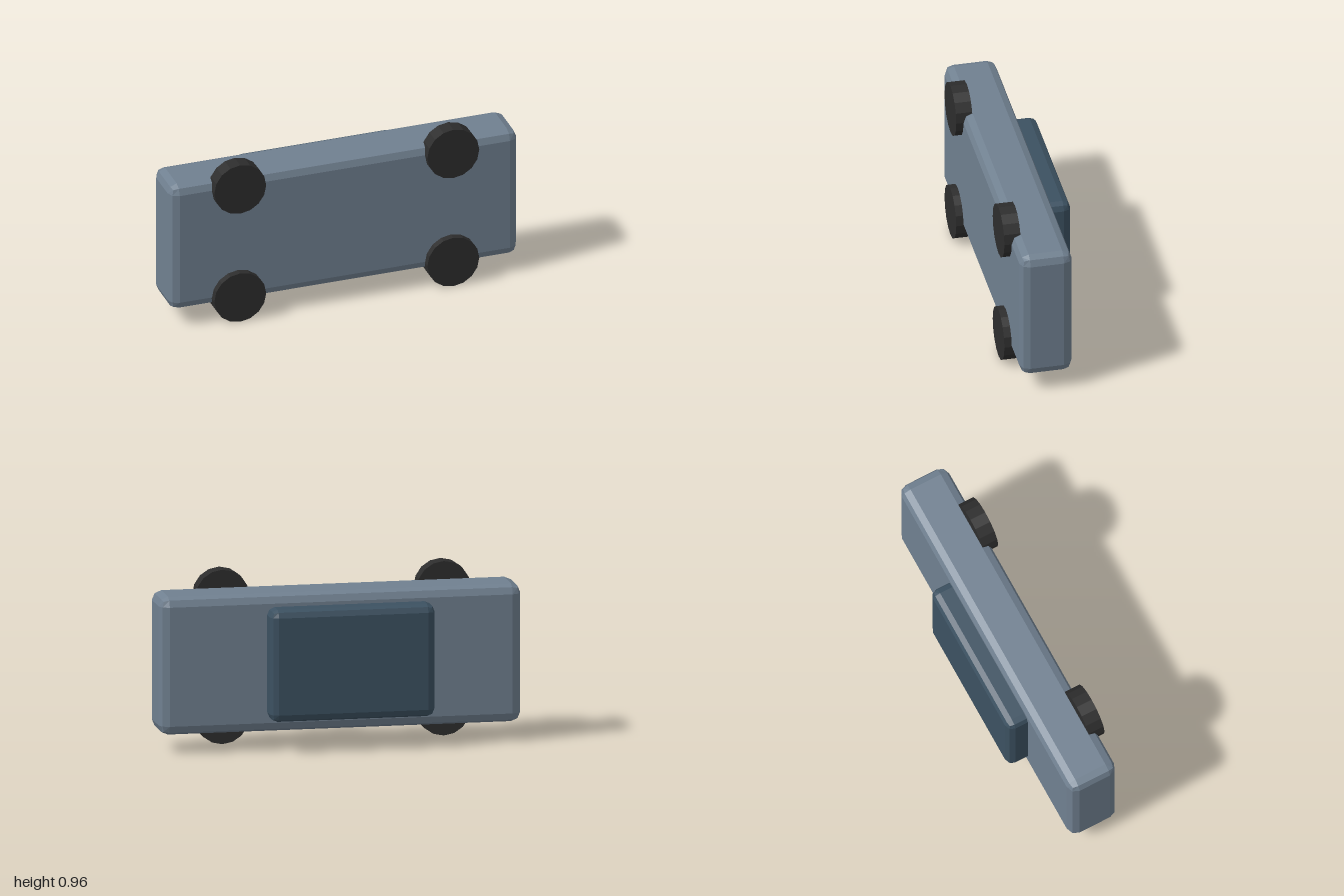
import * as THREE from 'three';

const paint = (name, color) => {
  const m = new THREE.MeshStandardMaterial({ color, flatShading: true });
  m.name = name;
  return m;
};

// Box between two corners, with two-step bevels of radius r on every edge
function beveledBox(min, max, r) {
  const geo = new THREE.BoxGeometry(2, 2, 2, 3, 3, 3);
  const pos = geo.attributes.position;
  const lo = new THREE.Vector3(...min), hi = new THREE.Vector3(...max);
  const centre = lo.clone().add(hi).multiplyScalar(0.5);
  const core = hi.clone().sub(lo).multiplyScalar(0.5).subScalar(r);
  const p = new THREE.Vector3();
  for (let i = 0; i < pos.count; i++) {
    p.fromBufferAttribute(pos, i);
    const corner = new THREE.Vector3(Math.sign(p.x), Math.sign(p.y), Math.sign(p.z)).multiply(core);
    // outer grid lines push outwards, inner ones bound the flat faces
    const dir = new THREE.Vector3(Math.trunc(p.x * 1.01), Math.trunc(p.y * 1.01), Math.trunc(p.z * 1.01));
    p.copy(dir.normalize()).multiplyScalar(r).add(corner).add(centre);
    pos.setXYZ(i, p.x, p.y, p.z);
  }
  geo.computeVertexNormals();
  return geo;
}

export function createModel() {
  const group = new THREE.Group();
  group.name = 'car';
  const add = (name, geo, mat) => {
    const mesh = new THREE.Mesh(geo, mat);
    mesh.name = name;
    group.add(mesh);
    return mesh;
  };
  const bodyPaint = paint('slate body', 0x708090);
  const cabinPaint = paint('dark blue cabin', 0x3c5161);
  const tyrePaint = paint('black tyre', 0x2d2d2d);

  // Main slab and the cabin on its back
  add('body', beveledBox([-1, 0.103, -0.105], [1, 0.865, 0.185], 0.052), bodyPaint);
  add('cabin', beveledBox([-0.5, 0.175, -0.223], [0.41, 0.795, -0.05], 0.042), cabinPaint);

  // Four wheels with axles along z
  const wheelGeo = new THREE.CylinderGeometry(0.149, 0.149, 0.091, 16).rotateX(Math.PI / 2);
  for (const [side, x] of [['Right', -0.615], ['Left', 0.609]]) {
    for (const [level, y] of [['lower', 0.149], ['upper', 0.815]]) {
      add(`${level}${side}Wheel`, wheelGeo, tyrePaint).position.set(x, y, 0.18);
    }
  }
  return group;
}
